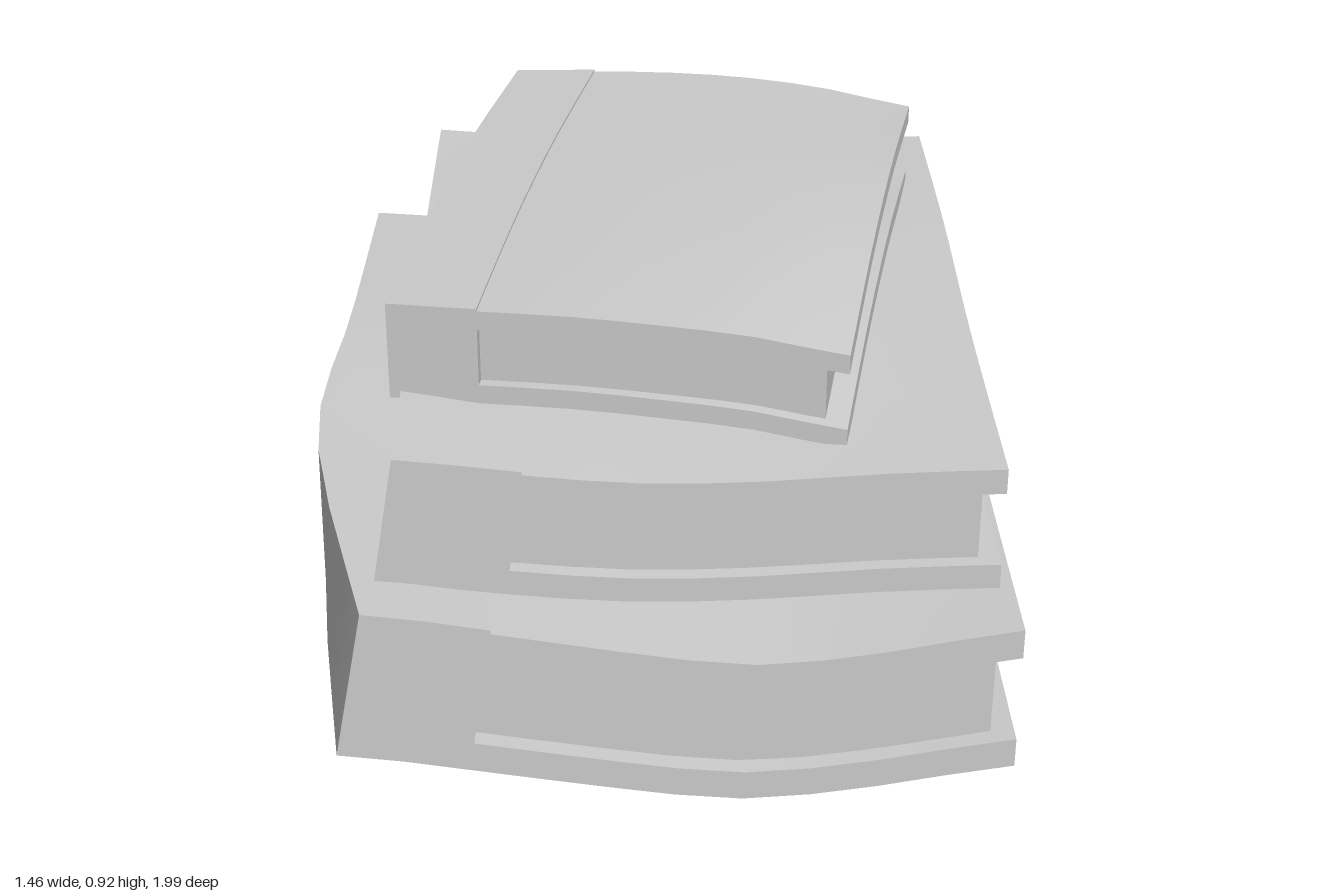
import * as THREE from 'three';

// Smooth interpolation through evenly spaced values, t in 0..1
function spline(values, t) {
  const n = values.length - 1;
  const i = Math.min(Math.floor(t * n), n - 1);
  const f = t * n - i;
  const at = k => values[Math.max(0, Math.min(n, k))];
  const [a, b, c, d] = [at(i - 1), at(i), at(i + 1), at(i + 2)];
  return b + 0.5 * f * (c - a + f * (2 * a - 5 * b + 4 * c - d + f * (3 * (b - c) + d - a)));
}

// Maps book space (u: spine to fore edge, v: back to front, w: bottom to top) to the warped shape
function warp(b, u, v, w) {
  const row = (list, k) => spline(list.map(p => p[k]), v);
  const xl = row(b.left, 0) + spline(b.lean, v) * w;
  const x = THREE.MathUtils.lerp(xl, row(b.right, 0), u);
  const bow = b.bow * 4 * u * (1 - u) * (1 - v) ** 3;
  const z = THREE.MathUtils.lerp(row(b.left, 1), row(b.right, 1), u) + bow;
  const y = spline(b.sag.map(r => spline(r, u)), v) + b.thick * w;
  return [x, y, z];
}

// A box of book space, bent into place
function part(b, name, [u0, u1], [v0, v1], [w0, w1]) {
  const geo = new THREE.BoxGeometry(1, 1, 1, u1 - u0 > 0.4 ? 8 : 2, 1, 10);
  const p = geo.attributes.position;
  const mix = THREE.MathUtils.lerp;
  for (let i = 0; i < p.count; i++) {
    p.setXYZ(i, ...warp(b,
      mix(u0, u1, p.getX(i) + 0.5),
      mix(v0, v1, p.getZ(i) + 0.5),
      mix(w0, w1, p.getY(i) + 0.5)));
  }
  geo.computeVertexNormals();
  const mesh = new THREE.Mesh(geo, new THREE.MeshStandardMaterial({ color: 0xcccccc }));
  mesh.name = name;
  return mesh;
}

function makeBook(b) {
  const g = new THREE.Group();
  g.name = b.name;
  const s = b.seam;
  g.add(
    part(b, 'spine', [0, s], [0, 1], [0, 1.025]),
    part(b, 'bottomCover', [s, 1], [0, 1], [0, 0.2]),
    part(b, 'topCover', [s, 1], [0, 1], [0.8, 1]),
    part(b, 'pages', [s, b.pageEnd], [0.03, 0.97], [0.2, 0.8]));
  return g;
}

// left/right: [x, z] of the spine and fore edge, back to front
// sag: underside heights, rows back to front, each from spine to fore edge
const books = [
  {
    name: 'bottomBook', seam: 0.195, pageEnd: 0.965, thick: 0.318, bow: 0.045,
    left: [[-0.70, -0.97], [-0.71, -0.33], [-0.73, 0.27], [-0.64, 0.985]],
    right: [[0.72, -1], [0.695, -0.33], [0.69, 0.3], [0.69, 0.98]],
    lean: [0, 0, 0, 0.06],
    sag: [
      [0.08, 0.07, 0.055, 0.055, 0.065, 0.085],
      [0.11, 0.10, 0.095, 0.09, 0.09, 0.095],
      [0.115, 0.09, 0.06, 0.04, 0.055, 0.08],
      [0.12, 0.08, 0.035, 0.003, 0.03, 0.075]],
  },
  {
    name: 'middleBook', seam: 0.21, pageEnd: 0.965, thick: 0.267, bow: 0,
    left: [[-0.55, -0.83], [-0.55, -0.28], [-0.55, 0.28], [-0.562, 0.855]],
    right: [[0.675, -0.82], [0.67, -0.28], [0.66, 0.28], [0.66, 0.84]],
    lean: [0.03, 0.03, 0.03, 0.045],
    sag: [
      [0.42, 0.40, 0.385, 0.385, 0.395, 0.405],
      [0.43, 0.42, 0.42, 0.42, 0.415, 0.415],
      [0.43, 0.415, 0.41, 0.41, 0.41, 0.41],
      [0.435, 0.405, 0.382, 0.382, 0.395, 0.40]],
  },
  {
    name: 'topBook', seam: 0.2, pageEnd: 0.95, thick: 0.203, bow: 0,
    left: [[-0.32, -0.73], [-0.412, -0.3], [-0.483, 0.13], [-0.54, 0.57]],
    right: [[0.61, -0.54], [0.527, -0.117], [0.443, 0.307], [0.36, 0.73]],
    lean: [0, 0, 0, 0],
    sag: [
      [0.68, 0.695, 0.705, 0.705, 0.69, 0.66],
      [0.68, 0.69, 0.705, 0.714, 0.714, 0.705],
      [0.68, 0.69, 0.70, 0.705, 0.71, 0.70],
      [0.69, 0.692, 0.695, 0.69, 0.68, 0.655]],
  },
];

export function createModel() {
  const model = new THREE.Group();
  model.name = 'bookStack';
  books.forEach(b => model.add(makeBook(b)));
  return model;
}
